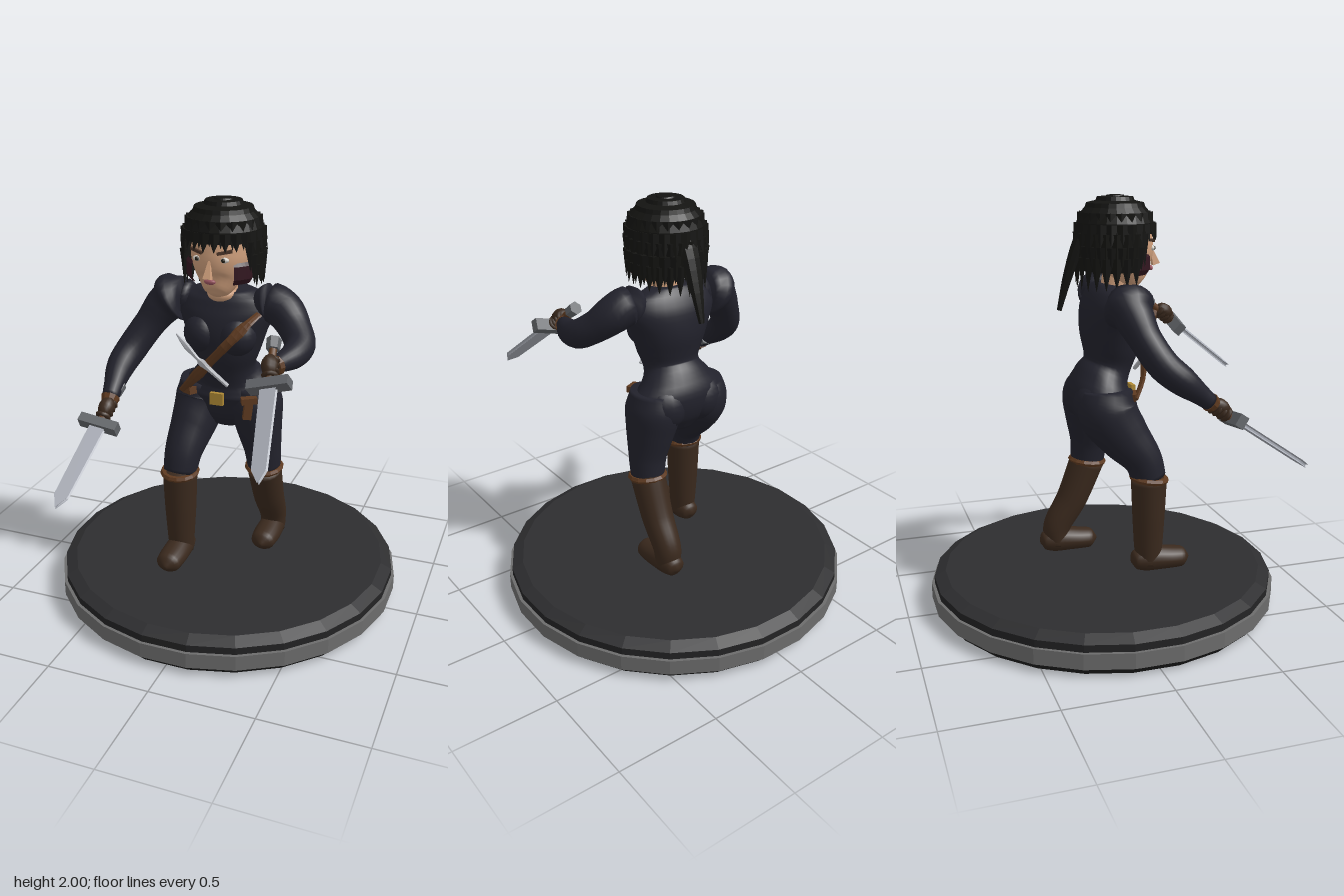
import * as THREE from 'three';

const SUIT = 0x22222c, LEATHER = 0x3a291d, STRAP = 0x5e3a20, SKIN = 0xcf9f7c, HAIR = 0x141412;
const STEEL = 0xa9adb6, DARK_STEEL = 0x63666a, MAROON = 0x32161f, GOLD = 0xb08a35;

function add(parent, name, geometry, color, { flat = false, pos, rot, scale } = {}) {
  const material = new THREE.MeshStandardMaterial({ color, flatShading: flat, side: THREE.DoubleSide });
  const mesh = new THREE.Mesh(geometry, material);
  mesh.name = name;
  if (pos) mesh.position.set(...pos);
  if (rot) mesh.rotation.set(...rot);
  if (scale) mesh.scale.set(...scale);
  parent.add(mesh);
  return mesh;
}

// Smooth body through rows of [x, y, z, radius across, radius deep]
function sweep(rows, steps = 24, sides = 20) {
  const path = new THREE.CatmullRomCurve3(rows.map(r => new THREE.Vector3(r[0], r[1], r[2])));
  const size = new THREE.CatmullRomCurve3(rows.map(r => new THREE.Vector3(r[3], r[4] ?? r[3], 0)));
  const pos = [], index = [];
  for (let i = 0; i <= steps; i++) {
    const t = i / steps, c = path.getPoint(t), s = size.getPoint(t), T = path.getTangent(t);
    const A = new THREE.Vector3(1, 0, 0).addScaledVector(T, -T.x).normalize();
    const B = T.clone().cross(A);
    for (let j = 0; j < sides; j++) {
      const a = j / sides * Math.PI * 2;
      const p = c.clone().addScaledVector(A, Math.cos(a) * s.x).addScaledVector(B, Math.sin(a) * s.y);
      pos.push(p.x, p.y, p.z);
      if (i === steps) continue;
      const k = (j + 1) % sides, m = i * sides;
      index.push(m + j, m + k, m + sides + j, m + k, m + sides + k, m + sides + j);
    }
  }
  const first = pos.length / 3, last = steps * sides;
  for (const r of [rows[0], rows[rows.length - 1]]) pos.push(r[0], r[1], r[2]);
  for (let j = 0; j < sides; j++) {
    const k = (j + 1) % sides;
    index.push(first, k, j, first + 1, last + j, last + k);
  }
  const g = new THREE.BufferGeometry();
  g.setAttribute('position', new THREE.Float32BufferAttribute(pos, 3));
  g.setIndex(index);
  g.computeVertexNormals();
  return g;
}

function addBase(root) {
  const layers = [
    ['baseFoot', 0.85, 0.82, 0, 0.04, 0x1c1c1c], ['baseBand', 0.86, 0.86, 0.04, 0.115, 0x6c6c6c],
    ['baseStep', 0.845, 0.845, 0.115, 0.15, 0x232324], ['baseTop', 0.79, 0.845, 0.15, 0.178, 0x2d2d2f]];
  for (const [name, top, bottom, y0, y1, color] of layers)
    add(root, name, new THREE.CylinderGeometry(top, bottom, y1 - y0, 24), color,
      { flat: true, pos: [0, (y0 + y1) / 2, -0.015], rot: [0, Math.PI / 24, 0] });
}

function addLeg(root, side, x, kneeZ, ankleZ) {
  const leg = new THREE.Group();
  leg.name = side + 'Leg';
  root.add(leg);
  add(leg, 'trouserLeg', sweep([
    [x * 0.72, 1.1, -0.03, 0.11, 0.12], [x * 0.76, 1.0, -0.03, 0.13, 0.145],
    [x * 0.86, 0.88, kneeZ * 0.35 - 0.015, 0.112, 0.125], [x * 0.96, 0.76, kneeZ * 0.8, 0.092, 0.095],
    [x, 0.66, kneeZ, 0.082, 0.084]]), SUIT);
  add(leg, 'kneeCuff', new THREE.TorusGeometry(0.082, 0.016, 6, 14), STRAP,
    { flat: true, pos: [x, 0.66, kneeZ], rot: [Math.PI / 2 + 0.12, 0, 0] });
  add(leg, 'bootShaft', sweep([
    [x, 0.22, ankleZ, 0.062, 0.06], [x, 0.31, ankleZ, 0.068, 0.07],
    [x, 0.46, ankleZ + (kneeZ - ankleZ) * 0.5, 0.078, 0.079], [x, 0.66, kneeZ, 0.086, 0.088]]), LEATHER);
  add(leg, 'bootFoot', sweep([
    [x, 0.235, ankleZ - 0.088, 0.01, 0.01], [x, 0.238, ankleZ - 0.07, 0.048, 0.045], [x, 0.242, ankleZ, 0.064, 0.064],
    [x, 0.236, ankleZ + 0.1, 0.068, 0.057], [x, 0.23, ankleZ + 0.175, 0.06, 0.05], [x, 0.225, ankleZ + 0.212, 0.01, 0.01]]), LEATHER);
}

// Sword and gripping hand; local +y runs toward the tip
function addSword(root, side, guard, tip, across) {
  const sword = new THREE.Group();
  sword.name = side + 'SwordAndHand';
  const g = new THREE.Vector3(...guard), Y = new THREE.Vector3(...tip).sub(g), L = Y.length();
  Y.normalize();
  const X = new THREE.Vector3(...across).addScaledVector(Y, -Y.dot(new THREE.Vector3(...across))).normalize();
  sword.applyMatrix4(new THREE.Matrix4().makeBasis(X, Y, X.clone().cross(Y)).setPosition(g));
  root.add(sword);
  const outline = new THREE.Shape([[-0.038, 0], [0.038, 0], [0.033, L - 0.06], [0, L], [-0.033, L - 0.06]]
    .map(p => new THREE.Vector2(...p)));
  add(sword, 'blade', new THREE.ExtrudeGeometry(outline, { depth: 0.008, bevelSize: -0.008, bevelThickness: 0.006,
    bevelSegments: 1, bevelOffset: 0 }), STEEL, { flat: true, pos: [0, 0, -0.004] });
  add(sword, 'crossGuard', new THREE.BoxGeometry(0.19, 0.045, 0.06), DARK_STEEL, { flat: true });
  add(sword, 'grip', new THREE.CylinderGeometry(0.018, 0.018, 0.2, 8), STRAP, { pos: [0, -0.1, 0] });
  add(sword, 'pommel', new THREE.CylinderGeometry(0.03, 0.034, 0.055, 6), DARK_STEEL, { flat: true, pos: [0, -0.205, 0] });
  add(sword, 'palm', new THREE.SphereGeometry(0.042, 12, 8), LEATHER, { pos: [0, -0.09, -0.015], scale: [0.9, 1.25, 0.9] });
  for (let i = 0; i < 4; i++)
    add(sword, 'finger', new THREE.TorusGeometry(0.027, 0.012, 6, 12), LEATHER,
      { pos: [0, -0.045 - i * 0.025, 0], rot: [Math.PI / 2, 0, 0] });
}

function addArm(root, side, rows) {
  add(root, side + 'Sleeve', sweep(rows, 28), SUIT);
  const [a, b] = rows.slice(-2);
  const far = [0, 1, 2].map(i => b[i] + (b[i] - a[i]) * 0.45);
  add(root, side + 'GloveCuff', sweep([[...b.slice(0, 3), 0.046], [...far, 0.036]], 4, 10), STRAP, { flat: true });
}

function addHead(root) {
  const head = new THREE.Group();
  head.name = 'head';
  root.add(head);
  add(head, 'neck', sweep([[0, 1.5, 0.045, 0.082, 0.085], [0, 1.57, 0.05, 0.066, 0.068], [0, 1.7, 0.07, 0.065, 0.07]], 8), SKIN);
  add(head, 'face', sweep([
    [0, 1.575, 0.16, 0.02, 0.02], [0, 1.59, 0.15, 0.055, 0.065], [0, 1.65, 0.115, 0.1, 0.115],
    [0, 1.74, 0.095, 0.132, 0.142], [0, 1.84, 0.08, 0.135, 0.145], [0, 1.94, 0.06, 0.09, 0.1]]), SKIN);
  add(head, 'nose', new THREE.ConeGeometry(0.025, 0.11, 4), SKIN, { flat: true, pos: [0, 1.725, 0.238], rot: [-0.3, Math.PI / 4, 0] });
  add(head, 'lips', new THREE.SphereGeometry(0.026, 10, 6), 0x9a5560, { pos: [0, 1.655, 0.226], scale: [1.1, 0.5, 0.5] });
  for (const s of [-1, 1]) {
    add(head, 'eye', new THREE.SphereGeometry(0.022, 10, 8), 0xd8d4cc, { pos: [s * 0.062, 1.755, 0.212], scale: [1.1, 0.6, 0.6] });
    add(head, 'iris', new THREE.SphereGeometry(0.01, 8, 6), 0x232018, { pos: [s * 0.062, 1.755, 0.222] });
    add(head, 'eyebrow', new THREE.BoxGeometry(0.07, 0.013, 0.02), 0x4a3428, { pos: [s * 0.065, 1.79, 0.214], rot: [0, s * 0.45, s * 0.15] });
    const cheek = [[0.155, 1.635], [0.172, 1.66], [0.172, 1.72], [0.16, 1.735]].map(p => new THREE.Vector2(...p));
    add(head, 'cheekPanel', new THREE.LatheGeometry(cheek, 5, s > 0 ? 0.62 : -1.2, 0.58), MAROON, { flat: true, pos: [0, 0, 0.05] });
  }
}

function addHair(root) {
  const hair = new THREE.Group();
  hair.name = 'hair';
  hair.position.z = 0.05;
  root.add(hair);
  // Stepped crown and the shell behind the face
  const crown = [[0.182, 1.825], [0.182, 1.875], [0.165, 1.92], [0.142, 1.945], [0.135, 1.965], [0.092, 1.975],
    [0.085, 1.992], [0.045, 1.994], [0.04, 2.0], [0, 2.0]].map(p => new THREE.Vector2(...p));
  add(hair, 'crown', new THREE.LatheGeometry(crown, 24), HAIR, { flat: true });
  const shell = [[0.15, 1.65], [0.172, 1.72], [0.182, 1.84]].map(p => new THREE.Vector2(...p));
  add(hair, 'backShell', new THREE.LatheGeometry(shell, 18, 1.12, Math.PI * 2 - 2.24), HAIR, { flat: true });
  // Overlapping locks: [top y, ring radius, length, count, opening for the face]
  const rows = [[1.92, 0.16, 0.11, 22, 0], [1.87, 0.178, 0.1, 24, 0], [1.83, 0.182, 0.13, 24, 0.95],
    [1.77, 0.184, 0.12, 24, 1.1], [1.72, 0.18, 0.13, 24, 1.2]];
  rows.forEach(([y, r, len, count, gap], k) => {
    for (let i = 0; i < count; i++) {
      const a = (i + k * 0.5) / count * Math.PI * 2;
      if (Math.min(a, Math.PI * 2 - a) < gap) continue;
      const l = len * (1 + 0.2 * Math.sin(i * 12.9 + k * 4.1));
      const lock = new THREE.ConeGeometry(0.034, l, 4).rotateX(Math.PI).translate(0, -l / 2, 0).scale(1, 1, 0.5);
      lock.rotateX(k < 2 ? -0.2 : -0.03);
      add(hair, 'lock', lock, HAIR, { flat: true, pos: [r * Math.sin(a), y, r * Math.cos(a)], rot: [0, a, 0] });
    }
  });
  add(hair, 'ponytail', sweep([[0, 1.88, -0.13, 0.05, 0.03], [0, 1.78, -0.18, 0.048, 0.03],
    [0, 1.62, -0.235, 0.036, 0.022], [0, 1.47, -0.275, 0.014, 0.012]], 10, 8), HAIR, { flat: true });
}

function addGear(root) {
  add(root, 'chestStrap', sweep([[-0.2, 1.06, 0.09, 0.02, 0.008], [-0.12, 1.15, 0.155, 0.022, 0.008], [-0.02, 1.26, 0.185, 0.022, 0.008],
    [0.08, 1.37, 0.208, 0.022, 0.008], [0.15, 1.45, 0.165, 0.022, 0.008], [0.19, 1.49, 0.1, 0.02, 0.008]], 18, 8), STRAP, { flat: true });
  // Small dagger slung across the strap
  add(root, 'dagger', sweep([[-0.18, 1.385, 0.2, 0.003], [-0.12, 1.33, 0.212, 0.016, 0.008], [-0.07, 1.28, 0.21, 0.01],
    [-0.05, 1.26, 0.208, 0.022, 0.012], [-0.01, 1.225, 0.2, 0.012], [0.065, 1.15, 0.175, 0.01]], 16, 6), 0xb4b6bc, { flat: true });
  add(root, 'buckle', new THREE.BoxGeometry(0.065, 0.06, 0.02), GOLD, { flat: true, pos: [-0.005, 1.06, 0.135] });
  add(root, 'pouch', new THREE.BoxGeometry(0.07, 0.035, 0.04), STRAP, { flat: true, pos: [-0.165, 1.07, 0.09], rot: [0, -0.6, 0.1] });
  add(root, 'holster', new THREE.BoxGeometry(0.04, 0.1, 0.03), STRAP, { flat: true, pos: [0.145, 1.02, 0.115], rot: [0, 0.5, -0.12] });
  add(root, 'holsterFlap', new THREE.BoxGeometry(0.075, 0.03, 0.04), STRAP, { flat: true, pos: [0.15, 1.065, 0.115], rot: [0, 0.5, 0.05] });
}

export function createModel() {
  const root = new THREE.Group();
  root.name = 'swordFighter';
  addBase(root);
  // Torso from crotch to collar
  add(root, 'torso', sweep([
    [0, 0.89, -0.03, 0.09, 0.08], [0, 0.96, -0.03, 0.21, 0.125], [0, 1.06, -0.035, 0.25, 0.148], [0, 1.13, -0.02, 0.19, 0.132],
    [0, 1.2, 0.01, 0.142, 0.115], [0, 1.28, 0.025, 0.168, 0.132], [0, 1.38, 0.025, 0.2, 0.145], [0, 1.48, 0.02, 0.235, 0.13],
    [0, 1.55, 0.025, 0.21, 0.1], [0, 1.585, 0.03, 0.12, 0.075]], 40, 28), SUIT);
  for (const s of [-1, 1]) {
    add(root, 'bust', new THREE.SphereGeometry(0.092, 18, 14), SUIT, { pos: [s * 0.085, 1.375, 0.1], scale: [1, 1.05, 1] });
    add(root, 'seat', new THREE.SphereGeometry(0.12, 18, 14), SUIT, { pos: [s * 0.1, 1.03, -0.07], scale: [1, 1.05, 0.95] });
  }
  add(root, 'neckline', new THREE.SphereGeometry(0.08, 16, 10), SKIN, { pos: [0, 1.565, 0.07], scale: [0.9, 0.55, 0.9] });
  addLeg(root, 'right', -0.19, 0.165, 0.165);
  addLeg(root, 'left', 0.18, -0.04, -0.205);
  addArm(root, 'right', [[-0.16, 1.52, 0.03, 0.06], [-0.23, 1.52, 0.03, 0.094], [-0.295, 1.48, 0.04, 0.094], [-0.37, 1.38, 0.075, 0.076],
    [-0.435, 1.27, 0.14, 0.074], [-0.462, 1.2, 0.22, 0.068], [-0.458, 1.13, 0.31, 0.048], [-0.453, 1.09, 0.36, 0.04]]);
  addArm(root, 'left', [[0.16, 1.52, 0.03, 0.06], [0.23, 1.53, 0.03, 0.092], [0.295, 1.5, 0.045, 0.09], [0.36, 1.44, 0.095, 0.076],
    [0.408, 1.39, 0.17, 0.07], [0.405, 1.37, 0.26, 0.06], [0.38, 1.365, 0.34, 0.045], [0.368, 1.362, 0.38, 0.038]]);
  addSword(root, 'right', [-0.455, 1.0, 0.48], [-0.49, 0.745, 0.855], [1, -0.13, 0]);
  addSword(root, 'left', [0.373, 1.315, 0.5], [0.45, 1.035, 0.86], [1, 0.28, 0]);
  addHead(root);
  addHair(root);
  addGear(root);
  return root;
}
